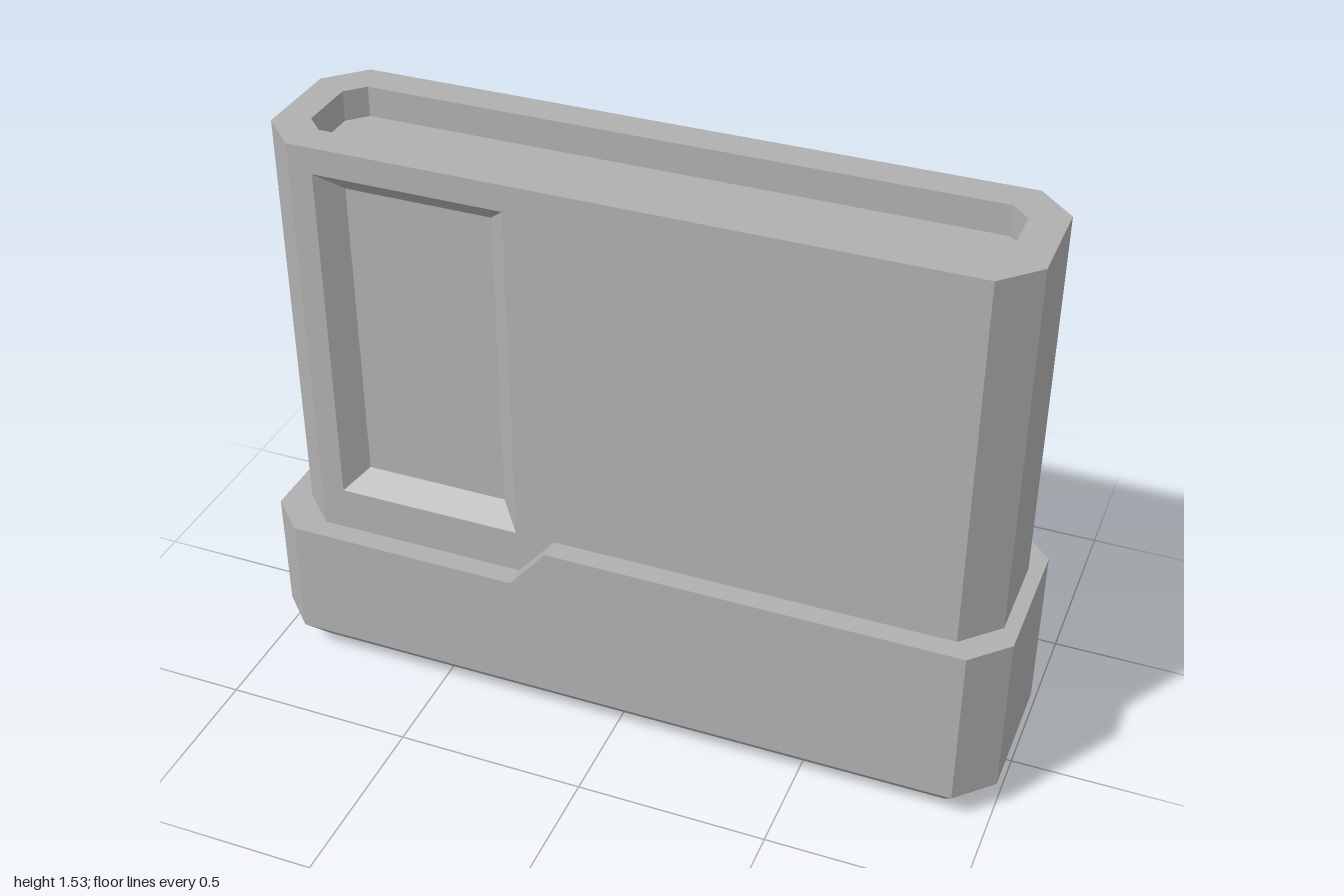
import * as THREE from 'three';

// Collects quads and turns them into one flat-faced geometry
class Faces {
  constructor() { this.v = []; }
  quad(a, b, c, d) { for (const p of [a, b, c, a, c, d]) this.v.push(...p); }
  // Join successive closed loops, leaving out the listed edges
  loft(loops, skip = []) {
    for (let k = 0; k + 1 < loops.length; k++) {
      const a = loops[k], b = loops[k + 1], n = a.length;
      for (let i = 0; i < n; i++) {
        if (skip.includes(i)) continue;
        const j = (i + 1) % n;
        this.quad(a[i], a[j], b[j], b[i]);
      }
    }
  }
  // Close a loop whose first half mirrors its second half
  cap(loop, flip = false) {
    const n = loop.length;
    for (let i = 0; i < n / 2 - 1; i++) {
      const q = [loop[i], loop[i + 1], loop[n - 2 - i], loop[n - 1 - i]];
      this.quad(...(flip ? q.reverse() : q));
    }
  }
  mesh(name, material) {
    const g = new THREE.BufferGeometry();
    g.setAttribute('position', new THREE.Float32BufferAttribute(this.v, 3));
    g.computeVertexNormals();
    const m = new THREE.Mesh(g, material);
    m.name = name;
    return m;
  }
}

// Chamfered rectangle outline seen from above, with optional extra x stations
function outline(x0, x1, z, c, height, stations = []) {
  const half = [[x0, z - c], [x0 + c, z], ...stations.map(x => [x, z]), [x1 - c, z], [x1, z - c]];
  const all = [...half, ...half.map(([x, d]) => [x, -d]).reverse()];
  return all.map(([x, d]) => [x, typeof height === 'function' ? height(x) : height, d]);
}

// Upright rectangle; side = 1 faces front, -1 faces back
function rect(x0, x1, y0, y1, z, side) {
  const p = [[x0, y0], [x1, y0], [x1, y1], [x0, y1]].map(([x, y]) => [x, y, z * side]);
  return side > 0 ? p : p.reverse();
}

export function createModel() {
  const model = new THREE.Group();
  model.name = 'steppedCase';
  const grey = new THREE.MeshStandardMaterial({ color: 0xb0b0b0, flatShading: true });
  grey.name = 'grey';

  // Base with bevelled underside and a stepped top edge
  const base = new Faces();
  const step = [-0.28, -0.18];
  const stepHeight = x => (x <= step[0] ? 0.41 : 0.53);
  const bottom = outline(-0.925, 0.925, 0.197, 0.05, 0, step);
  const top = outline(-1, 1, 0.272, 0.092, stepHeight, step);
  base.loft([bottom, outline(-1, 1, 0.272, 0.092, 0.08, step), top]);
  base.cap(bottom, true);
  base.cap(top);
  model.add(base.mesh('base', grey));

  // Tall body: chamfered sides, top rim and shallow slot
  const X0 = -0.935, X1 = 0.962, Z = 0.215, C = 0.092, LOW = 0.38, TOP = 1.53;
  const body = new Faces();
  const rim = outline(X0, X1, Z, C, TOP);
  const slot = outline(-0.85, 0.872, 0.125, 0.046, TOP);
  const floor = outline(-0.85, 0.872, 0.125, 0.046, TOP - 0.08);
  body.loft([outline(X0, X1, Z, C, LOW), rim], [1, 5]);
  body.loft([rim, slot, floor]);
  body.cap(floor);
  model.add(body.mesh('body', grey));

  // Broad front and back faces, each with a bevelled recess
  for (const side of [1, -1]) {
    const panel = new Faces();
    const inner = rect(-0.725, -0.34, 0.583, 1.405, Z - 0.055, side);
    panel.loft([
      rect(X0 + C, X1 - C, LOW, TOP, Z, side),
      rect(-0.78, -0.285, 0.53, 1.46, Z, side),
      inner,
    ]);
    panel.quad(...inner);
    model.add(panel.mesh(side > 0 ? 'frontPanel' : 'backPanel', grey));
  }
  return model;
}
